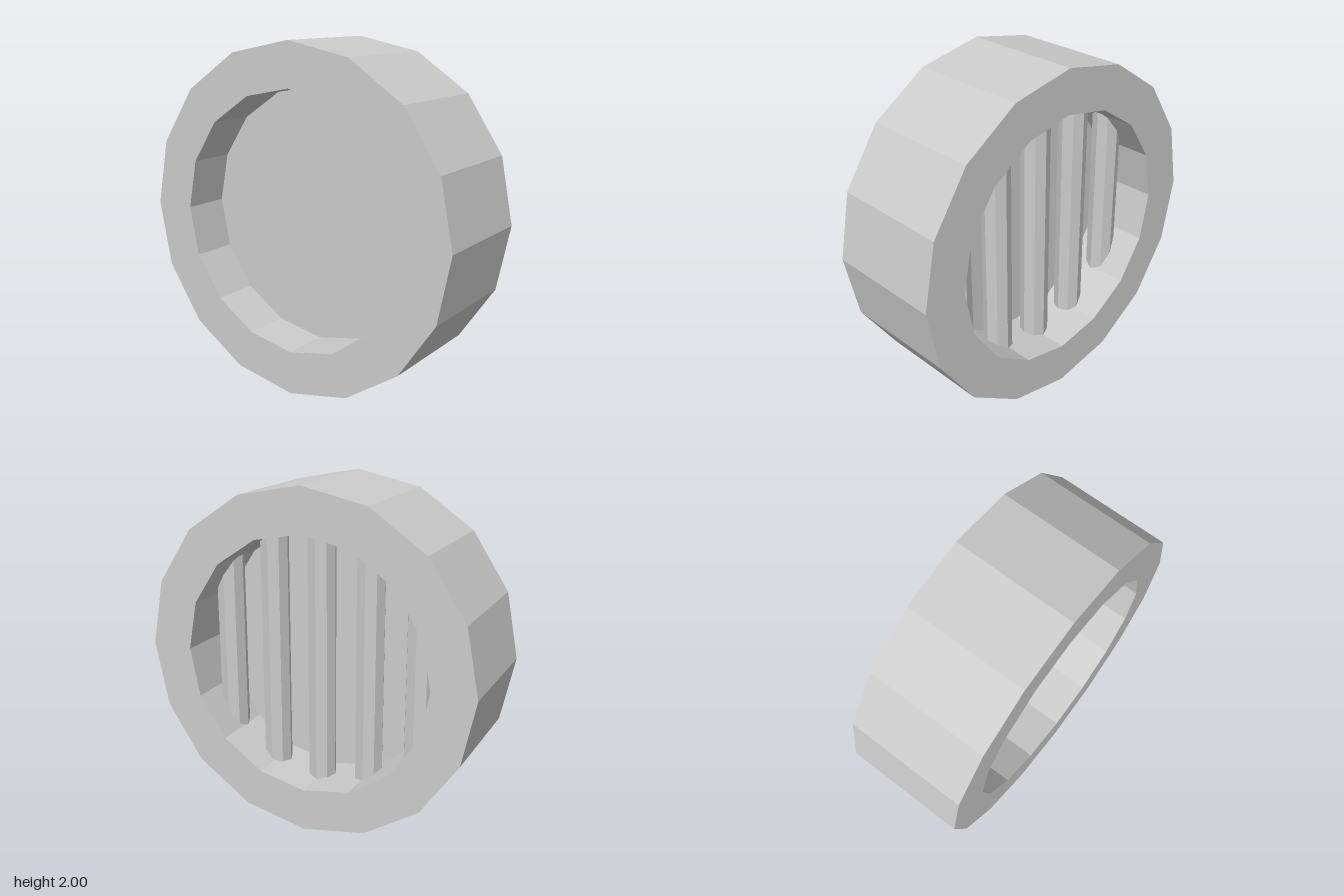
import * as THREE from 'three';

const SIDES = 16, OUTER = 1, INNER = 0.747, WIDTH = 0.7, BAR = 0.083;

// Regular polygon with a corner on each axis
function polygon(radius, PathType) {
  const points = [];
  for (let i = 0; i < SIDES; i++) {
    const a = (i / SIDES) * Math.PI * 2;
    points.push(new THREE.Vector2(Math.cos(a) * radius, Math.sin(a) * radius));
  }
  return new PathType(points);
}

export function createModel() {
  const model = new THREE.Group();
  model.name = 'barredPorthole';
  const material = new THREE.MeshStandardMaterial({ color: 0xcccccc, flatShading: true });

  const add = (name, geometry, x, y, z) => {
    const mesh = new THREE.Mesh(geometry, material);
    mesh.name = name;
    mesh.position.set(x, y, z);
    model.add(mesh);
  };

  // Thick faceted ring, its axis along x
  const ringShape = polygon(OUTER, THREE.Shape);
  ringShape.holes.push(polygon(INNER, THREE.Path));
  const ring = new THREE.ExtrudeGeometry(ringShape, { depth: WIDTH, bevelEnabled: false });
  ring.translate(0, 0, -WIDTH / 2).rotateY(Math.PI / 2);
  add('ring', ring, 0, 1, 0);

  // Thin plate closing the opening
  const plate = new THREE.CylinderGeometry(INNER + 0.01, INNER + 0.01, 0.03, SIDES);
  plate.rotateZ(Math.PI / 2);
  add('backPlate', plate, -0.055, 1, 0);

  // Five upright octagonal bars, ends sunk into the ring
  for (let i = -2; i <= 2; i++) {
    const z = i * 0.3;
    const near = Math.max(0, Math.abs(z) - BAR);
    const half = Math.sqrt(INNER * INNER - near * near) + 0.02;
    add('bar' + (i + 3), new THREE.CylinderGeometry(BAR, BAR, half * 2, 8), 0.11, 1, z);
  }

  return model;
}
